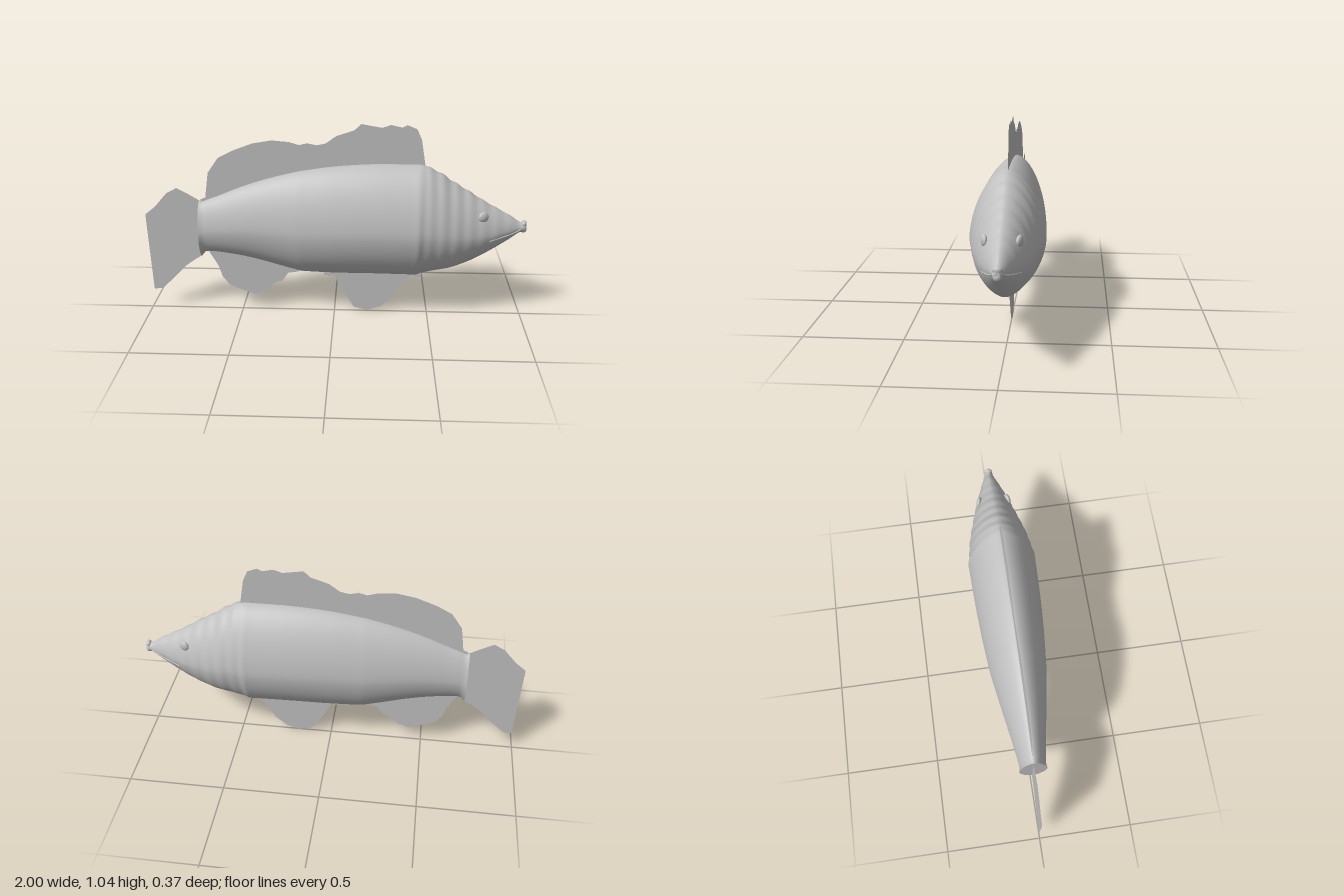
import * as THREE from 'three';

// Body stations: x, top, bottom, half width
const STATIONS = [
  [-0.71, 0.62, 0.31, 0.072], [-0.69, 0.62, 0.335, 0.068], [-0.66, 0.632, 0.34, 0.071],
  [-0.6, 0.655, 0.335, 0.08], [-0.5, 0.697, 0.32, 0.097], [-0.4, 0.733, 0.298, 0.114],
  [-0.3, 0.763, 0.27, 0.13], [-0.19, 0.79, 0.24, 0.147], [-0.16, 0.796, 0.235, 0.15],
  [0, 0.82, 0.23, 0.164], [0.2, 0.835, 0.23, 0.175], [0.4, 0.836, 0.228, 0.181],
  [0.435, 0.836, 0.228, 0.182], [0.455, 0.833, 0.237, 0.174], [0.53, 0.8, 0.255, 0.164],
  [0.61, 0.747, 0.272, 0.147], [0.7, 0.692, 0.308, 0.122], [0.76, 0.653, 0.34, 0.104],
  [0.84, 0.607, 0.39, 0.076], [0.92, 0.562, 0.445, 0.043], [0.965, 0.532, 0.478, 0.024],
  [0.985, 0.535, 0.475, 0.022], [0.997, 0.52, 0.49, 0.012],
];
const POWER = 1.7; // below 2 the cross-section is pinched towards back and belly

// Smooth interpolation of one station column at x
function sample(x, col) {
  const n = STATIONS.length;
  let i = 0;
  while (i < n - 2 && x > STATIONS[i + 1][0]) i++;
  const slope = (a, b) => (STATIONS[b][col] - STATIONS[a][col]) / (STATIONS[b][0] - STATIONS[a][0]);
  const m0 = slope(Math.max(i - 1, 0), i + 1);
  const m1 = slope(i, Math.min(i + 2, n - 1));
  const h = STATIONS[i + 1][0] - STATIONS[i][0];
  const t = (x - STATIONS[i][0]) / h, t2 = t * t, t3 = t2 * t;
  return (2 * t3 - 3 * t2 + 1) * STATIONS[i][col] + (t3 - 2 * t2 + t) * h * m0
    + (3 * t2 - 2 * t3) * STATIONS[i + 1][col] + (t3 - t2) * h * m1;
}

function section(x) {
  const top = sample(x, 1), bottom = sample(x, 2);
  const centre = (top + bottom) / 2 - 0.05 * (top - bottom);
  // shallow folds round the head
  const fold = x > 0.47 && x < 0.96 ? 1 + 0.012 * Math.sin((x - 0.47) * 2 * Math.PI / 0.07) : 1;
  return { centre, up: (top - centre) * fold, down: centre - bottom, half: sample(x, 3) * fold };
}

// Half thickness of the body at a given side-view point
function surfaceZ(x, y) {
  const s = section(x);
  const d = Math.min(1, Math.abs(y - s.centre) / (y > s.centre ? s.up : s.down));
  return s.half * Math.pow(1 - Math.pow(d, POWER), 1 / POWER);
}

function bodyGeometry() {
  const slices = 170, sides = 56, pos = [], index = [];
  const x0 = STATIONS[0][0], x1 = STATIONS[STATIONS.length - 1][0];
  const bend = v => Math.sign(v) * Math.pow(Math.abs(v), 2 / POWER);
  const ring = x => {
    const s = section(x);
    for (let j = 0; j < sides; j++) {
      const a = j / sides * 2 * Math.PI, c = bend(Math.cos(a));
      pos.push(x, s.centre + c * (c > 0 ? s.up : s.down), s.half * bend(Math.sin(a)));
    }
  };
  for (let i = 0; i <= slices; i++) ring(x0 + (x1 - x0) * i / slices);
  for (let i = 0; i < slices; i++) {
    for (let j = 0; j < sides; j++) {
      const k = (j + 1) % sides, a = i * sides, b = a + sides;
      index.push(a + j, a + k, b + j, a + k, b + k, b + j);
    }
  }
  // end caps with their own vertices
  for (const [x, front] of [[x0, false], [x1, true]]) {
    const base = pos.length / 3;
    ring(x);
    pos.push(x, section(x).centre, 0);
    for (let j = 0; j < sides; j++) {
      const k = (j + 1) % sides;
      index.push(base + sides, base + (front ? j : k), base + (front ? k : j));
    }
  }
  const g = new THREE.BufferGeometry();
  g.setAttribute('position', new THREE.Float32BufferAttribute(pos, 3));
  g.setIndex(index);
  g.computeVertexNormals();
  return g;
}

// Fin outlines in side view; each base is hidden inside the body
const FINS = {
  dorsalFin: [
    [-0.7, 0.55], [-0.7, 0.63], [-0.675, 0.64], [-0.655, 0.775], [-0.6, 0.855], [-0.525, 0.895],
    [-0.42, 0.935], [-0.32, 0.953], [-0.23, 0.945], [-0.18, 0.93], [-0.14, 0.94], [-0.09, 0.93],
    [-0.045, 0.94], [0.01, 0.98], [0.1, 1.01], [0.135, 1.043], [0.18, 1.035], [0.24, 1.025],
    [0.285, 1.04], [0.34, 1.027], [0.365, 1.04], [0.415, 1.02], [0.44, 0.965], [0.462, 0.835],
    [0.44, 0.78], [0, 0.75], [-0.4, 0.67],
  ],
  analFin: [
    [-0.67, 0.4], [-0.67, 0.33], [-0.625, 0.25], [-0.605, 0.185], [-0.565, 0.135], [-0.5, 0.11],
    [-0.43, 0.085], [-0.365, 0.11], [-0.325, 0.155], [-0.28, 0.17], [-0.25, 0.215],
    [-0.19, 0.225], [-0.19, 0.3], [-0.4, 0.37],
  ],
  ventralFin: [
    [-0.055, 0.28], [-0.055, 0.205], [0, 0.205], [0.04, 0.125], [0.09, 0.045], [0.105, 0.02],
    [0.18, 0], [0.25, 0.025], [0.31, 0.075], [0.35, 0.14], [0.39, 0.195], [0.415, 0.215],
    [0.425, 0.205], [0.462, 0.205], [0.462, 0.28],
  ],
  tailFin: [
    [-0.7, 0.615], [-0.71, 0.625], [-0.76, 0.655], [-0.825, 0.69], [-0.88, 0.66], [-0.945, 0.585],
    [-1, 0.54], [-0.985, 0.105], [-0.94, 0.11], [-0.88, 0.165], [-0.805, 0.245], [-0.75, 0.285],
    [-0.71, 0.31], [-0.7, 0.33],
  ],
};

export function createModel() {
  const model = new THREE.Group();
  model.name = 'fish';
  const skin = new THREE.MeshStandardMaterial({ color: 0xc0c0c0, side: THREE.DoubleSide });
  skin.name = 'plain grey';
  const add = (name, geometry) => {
    const mesh = new THREE.Mesh(geometry, skin);
    mesh.name = name;
    model.add(mesh);
    return mesh;
  };

  add('body', bodyGeometry());

  // paper-thin fins on the centre plane
  for (const [name, points] of Object.entries(FINS)) {
    const shape = new THREE.Shape(points.map(([x, y]) => new THREE.Vector2(x, y)));
    add(name, new THREE.ShapeGeometry(shape)).position.z = -0.004;
  }

  // eyes and mouth creases on both sides
  for (const [side, s] of [['left', 1], ['right', -1]]) {
    const eye = add(side + 'Eye', new THREE.SphereGeometry(0.028, 24, 16));
    eye.scale.z = 0.5;
    eye.position.set(0.762, 0.585, s * (surfaceZ(0.762, 0.585) + 0.002));
    eye.rotation.y = s * 0.35;

    const line = [[0.8, 0.455], [0.86, 0.468], [0.92, 0.482], [0.965, 0.498]].map(
      ([x, y]) => new THREE.Vector3(x, y, s * surfaceZ(x, y)));
    add(side + 'MouthCorner', new THREE.TubeGeometry(new THREE.CatmullRomCurve3(line), 20, 0.004, 8));
  }

  // puckered lips
  const upper = add('upperLip', new THREE.SphereGeometry(0.016, 20, 14));
  upper.position.set(0.983, 0.525, 0);
  upper.scale.set(0.9, 1, 1.3);
  const lower = add('lowerLip', new THREE.SphereGeometry(0.016, 20, 14));
  lower.position.set(0.985, 0.495, 0);
  lower.scale.set(0.9, 1.2, 1.2);
  return model;
}
